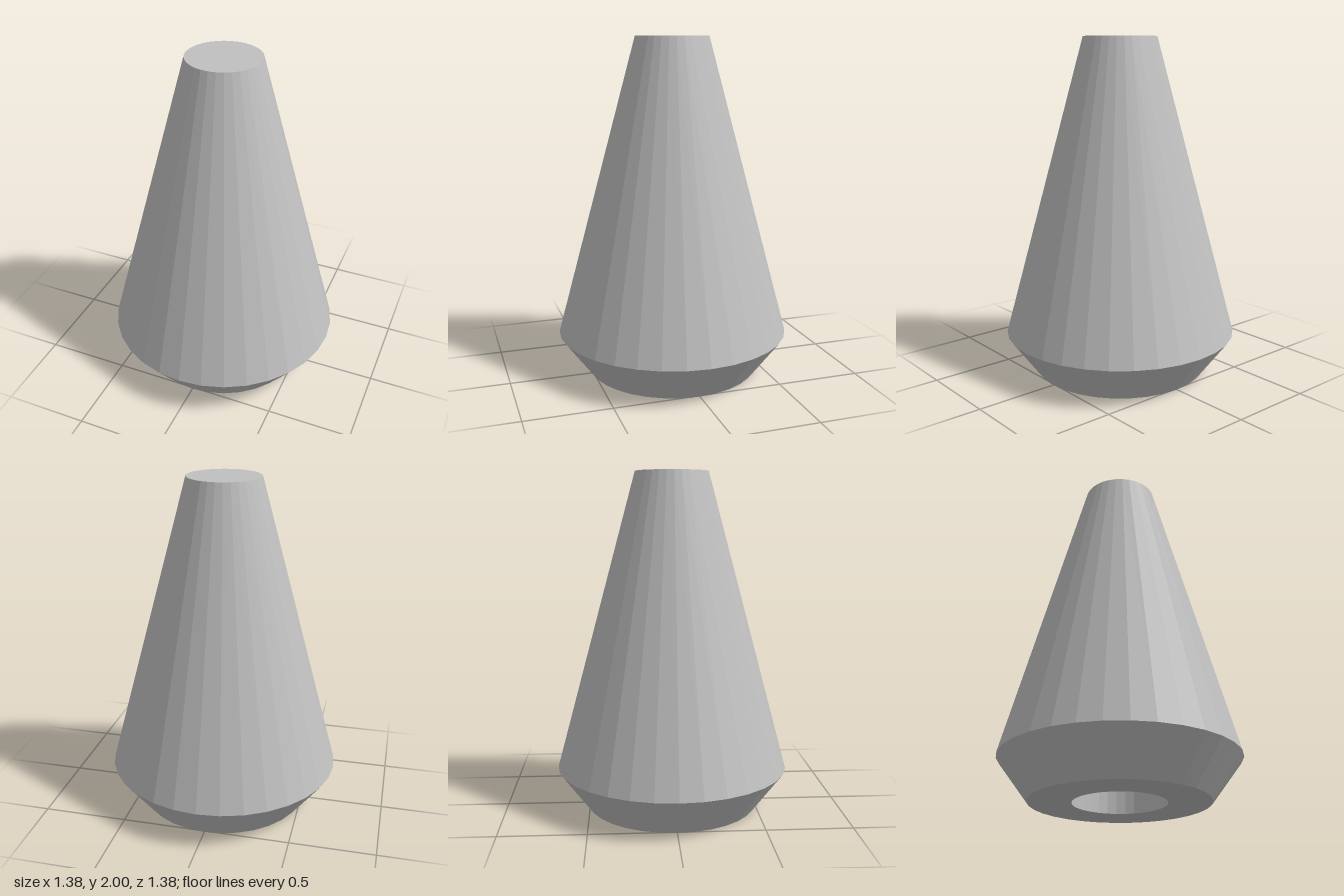
import * as THREE from 'three';

const SIDES = 32;

// Revolve a [radius, height] profile into flat facets
function revolve(profile) {
  const points = profile.map(([r, y]) => new THREE.Vector2(r, y));
  const geometry = new THREE.LatheGeometry(points, SIDES).toNonIndexed();
  geometry.computeVertexNormals();
  return geometry;
}

export function createModel() {
  const model = new THREE.Group();
  model.name = 'taperedCone';

  const grey = new THREE.MeshStandardMaterial({ color: 0xc0c0c0 });
  grey.name = 'grey';

  const add = (name, profile) => {
    const mesh = new THREE.Mesh(revolve(profile), grey);
    mesh.name = name;
    model.add(mesh);
  };

  // Blind bore: ceiling, then wall down to the underside
  add('bore', [[0, 1], [0.265, 1], [0.265, 0]]);

  // Ring-shaped underside
  add('underside', [[0.265, 0], [0.51, 0]]);

  // Chamfered foot flaring out to the widest edge
  add('chamferedFoot', [[0.51, 0], [0.69, 0.24]]);

  // Long tapered body with its flat top
  add('taperedBody', [[0.69, 0.24], [0.215, 2], [0, 2]]);

  return model;
}
